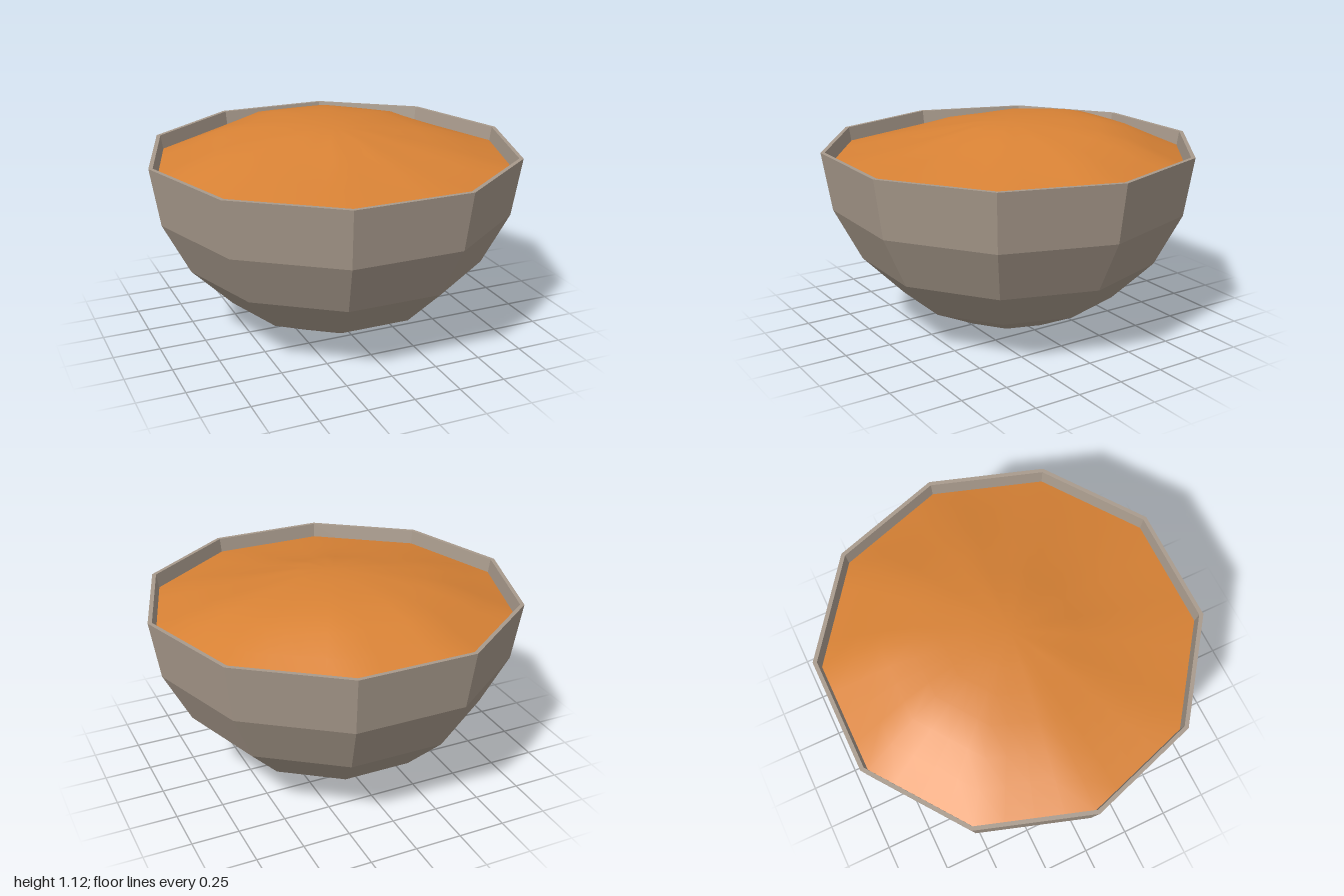
import * as THREE from 'three';

const SIDES = 10;

// Faceted half-sphere shell with a flat rim
function makeBowl() {
  const arc = (r) => Array.from({ length: 6 }, (_, i) => {
    const a = (i * Math.PI) / 10;
    return new THREE.Vector2(r * Math.sin(a), 1 - r * Math.cos(a));
  });
  const profile = [...arc(1), ...arc(0.978).reverse()];
  const bowl = new THREE.Mesh(
    new THREE.LatheGeometry(profile, SIDES, Math.PI / 2),
    new THREE.MeshStandardMaterial({ color: 0xa89a8c, flatShading: true })
  );
  bowl.name = 'bowl';
  return bowl;
}

// Smooth heaped contents, gentle toward the back and steeper toward the front
function makeFilling() {
  const radii = [0, 0.2, 0.35, 0.5, 0.65, 0.8, 0.965];
  const front = [1.112, 1.085, 1.043, 1.004, 0.975, 0.95, 0.925];
  const back = [1.112, 1.116, 1.112, 1.1, 1.066, 0.998, 0.925];
  const perSide = 4;
  const n = SIDES * perSide;
  const corner = (k) => new THREE.Vector2(
    Math.cos((k * 2 * Math.PI) / SIDES), Math.sin((k * 2 * Math.PI) / SIDES));
  const pos = [0, front[0], 0];
  const index = [];
  for (let i = 1; i < radii.length; i++) {
    for (let j = 0; j < n; j++) {
      const k = Math.floor(j / perSide);
      const p = corner(k).lerp(corner(k + 1), (j % perSide) / perSide);
      const t = 0.5 - 0.5 * (p.y / p.length());
      pos.push(p.x * radii[i], THREE.MathUtils.lerp(front[i], back[i], t), p.y * radii[i]);
      const a = 1 + (i - 1) * n + j;
      const b = 1 + (i - 1) * n + ((j + 1) % n);
      if (i === 1) index.push(0, b, a);
      else index.push(a - n, b - n, a, b - n, b, a);
    }
  }
  const geo = new THREE.BufferGeometry();
  geo.setAttribute('position', new THREE.Float32BufferAttribute(pos, 3));
  geo.setIndex(index);
  geo.computeVertexNormals();
  const filling = new THREE.Mesh(
    geo, new THREE.MeshStandardMaterial({ color: 0xd88235, side: THREE.DoubleSide }));
  filling.name = 'filling';
  return filling;
}

export function createModel() {
  const group = new THREE.Group();
  group.name = 'filledBowl';
  group.add(makeBowl(), makeFilling());
  return group;
}
